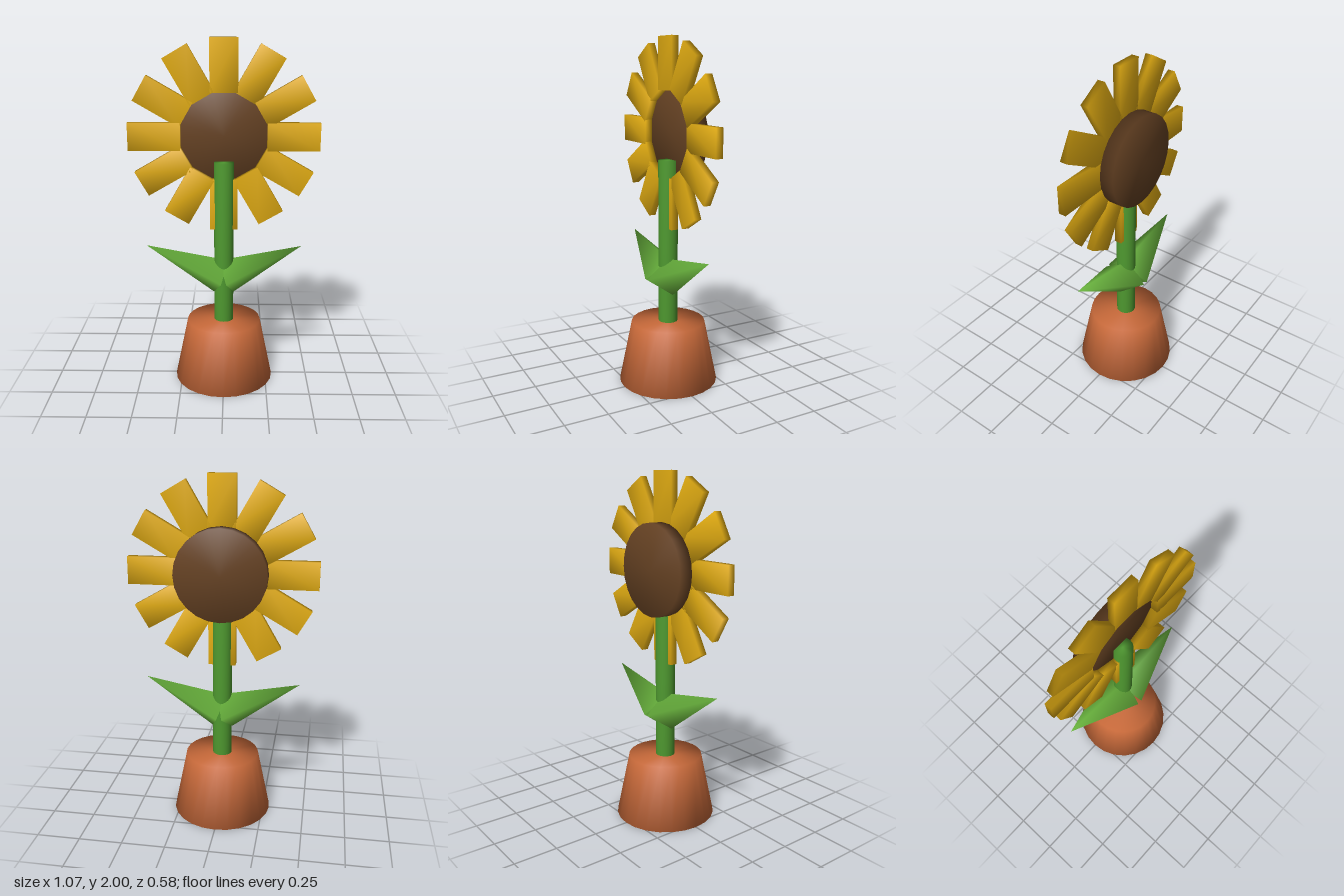
import * as THREE from 'three';
import { mergeVertices } from 'three/addons/utils/BufferGeometryUtils.js';

const paint = (name, color) => {
  const m = new THREE.MeshStandardMaterial({ color });
  m.name = name;
  return m;
};

// Shares corners so the shading runs softly over every edge
function soften(geometry) {
  geometry.deleteAttribute('normal');
  geometry.deleteAttribute('uv');
  const soft = mergeVertices(geometry);
  soft.clearGroups();
  soft.computeVertexNormals();
  return soft;
}

export function createModel() {
  const group = new THREE.Group();
  group.name = 'pottedFlower';

  const terracotta = paint('terracotta', 0xc96a3a);
  const stemGreen = paint('stem green', 0x4f9a30);
  const leafGreen = paint('leaf green', 0x6cb83f);
  const petalYellow = paint('petal yellow', 0xe0ab12);
  const seedBrown = paint('seed brown', 0x664223);

  const add = (name, geometry, material, parent = group) => {
    const mesh = new THREE.Mesh(soften(geometry), material);
    mesh.name = name;
    parent.add(mesh);
    return mesh;
  };

  // Upturned pot, wider at the foot
  add('pot', new THREE.CylinderGeometry(0.215, 0.29, 0.365, 24), terracotta).position.y = 0.1825;

  // Stem from the pot to the flower
  add('stem', new THREE.CylinderGeometry(0.056, 0.056, 0.96, 24), stemGreen).position.y = 0.84;

  // Two flattened four-sided leaves, mirrored left and right
  for (const side of [1, -1]) {
    const height = 0.475;
    const cone = new THREE.ConeGeometry(1, height, 4)
      .translate(0, height / 2, 0)
      .scale(0.108, 1, 0.142)
      .rotateZ(-side * Math.atan2(0.435, 0.19))
      .translate(side * 0.015, 0.635, 0);
    add(side > 0 ? 'leftLeaf' : 'rightLeaf', cone, leafGreen);
  }

  // Flower head: seed disc behind a ring of petals
  const head = new THREE.Group();
  head.name = 'flowerHead';
  head.position.y = 1.465;
  group.add(head);

  add('seedDisc', new THREE.CylinderGeometry(0.26, 0.26, 0.08, 24).rotateX(Math.PI / 2), seedBrown, head)
    .position.z = -0.063;

  const petals = 12;
  for (let i = 0; i < petals; i++) {
    const petal = new THREE.BoxGeometry(0.156, 0.293, 0.042).translate(0, 0.3885, 0);
    add('petal' + (i + 1), petal, petalYellow, head).rotation.z = (i / petals) * Math.PI * 2;
  }

  return group;
}
